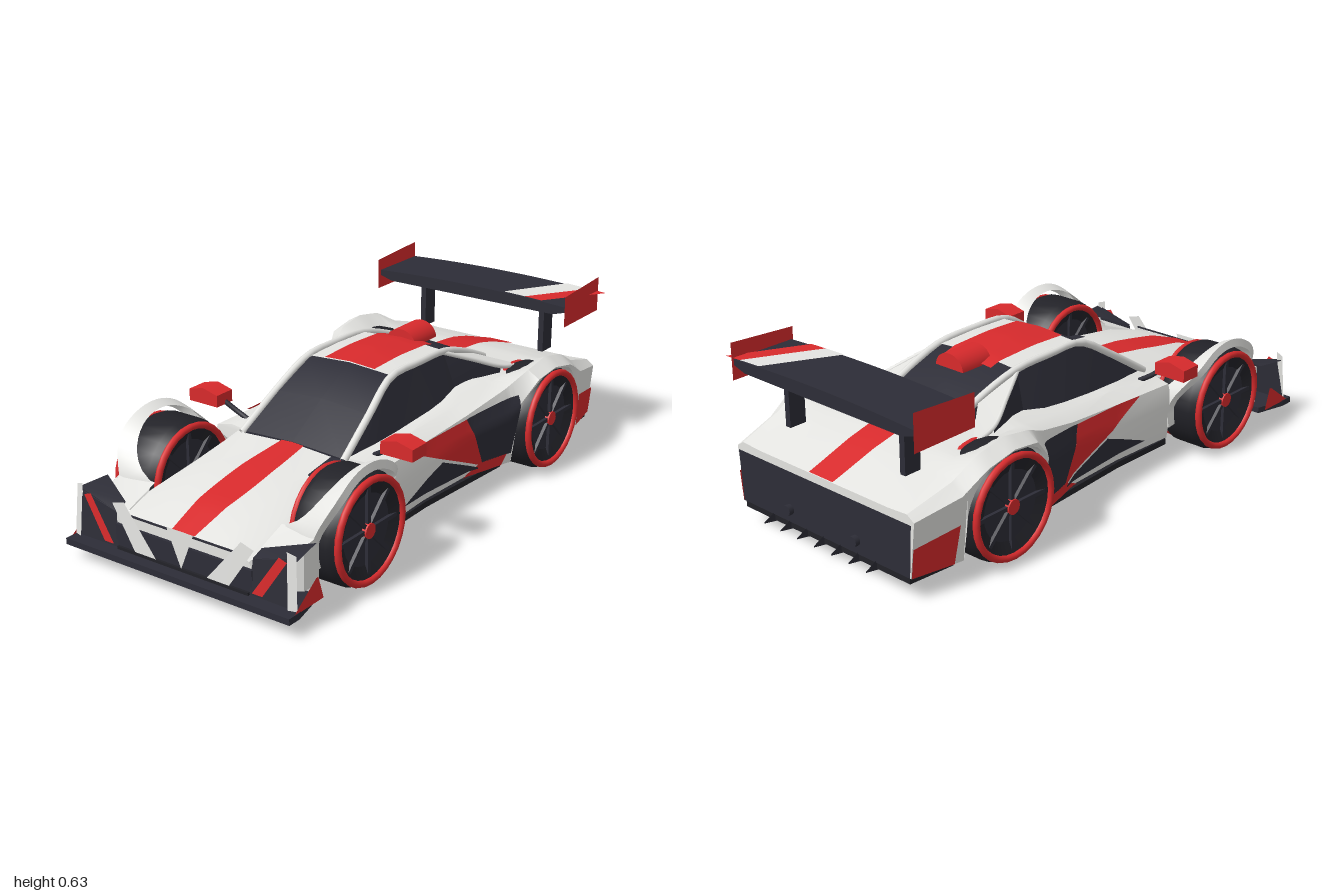
import * as THREE from 'three';
import { toCreasedNormals } from 'three/addons/utils/BufferGeometryUtils.js';

const paint = (name, hex) => {
  const m = new THREE.MeshStandardMaterial({ color: hex, side: THREE.DoubleSide });
  m.name = name;
  return m;
};
const lerp = THREE.MathUtils.lerp;

// Body half sections: z, top centre y, then x,y of crown, inner fender, outer fender, belt, then inner sill x
const BODY = [
  [0.94, 0.195, 0.15, 0.195, 0.24, 0.185, 0.262, 0.175, 0.27, 0.16, 0.265],
  [0.80, 0.245, 0.15, 0.24, 0.24, 0.225, 0.265, 0.22, 0.27, 0.2, 0.265],
  [0.58, 0.285, 0.15, 0.28, 0.235, 0.265, 0.26, 0.25, 0.264, 0.23, 0.262],
  [0.375, 0.312, 0.2, 0.30, 0.25, 0.29, 0.26, 0.28, 0.264, 0.25, 0.262],
  [0.37, 0.312, 0.2, 0.302, 0.28, 0.305, 0.345, 0.29, 0.365, 0.22, 0.27],
  [0.10, 0.315, 0.22, 0.315, 0.28, 0.32, 0.335, 0.295, 0.352, 0.22, 0.27],
  [-0.15, 0.33, 0.23, 0.335, 0.29, 0.335, 0.345, 0.315, 0.362, 0.24, 0.27],
  [-0.34, 0.375, 0.22, 0.375, 0.30, 0.36, 0.38, 0.36, 0.415, 0.27, 0.27],
  [-0.45, 0.385, 0.2, 0.38, 0.30, 0.362, 0.41, 0.408, 0.455, 0.38, 0.27],
  [-0.56, 0.38, 0.2, 0.375, 0.31, 0.36, 0.41, 0.424, 0.46, 0.395, 0.27],
  [-0.68, 0.37, 0.2, 0.365, 0.31, 0.362, 0.41, 0.402, 0.458, 0.37, 0.27],
  [-0.78, 0.345, 0.2, 0.345, 0.31, 0.34, 0.40, 0.345, 0.445, 0.31, 0.27],
  [-0.95, 0.29, 0.2, 0.29, 0.3, 0.29, 0.38, 0.295, 0.41, 0.275, 0.27],
];
// Cabin half sections: z, centre y, then x,y of roof rail and window base
const CABIN = [
  [0.39, 0.315, 0.205, 0.305, 0.212, 0.29],
  [0.23, 0.42, 0.195, 0.405, 0.226, 0.305],
  [0.08, 0.497, 0.175, 0.487, 0.232, 0.31],
  [-0.08, 0.508, 0.175, 0.49, 0.234, 0.33],
  [-0.25, 0.498, 0.175, 0.485, 0.226, 0.345],
  [-0.40, 0.455, 0.172, 0.44, 0.205, 0.36],
  [-0.53, 0.395, 0.17, 0.385, 0.185, 0.36],
];
const REAR = { z: -0.56, y: 0.195, r: 0.2 };

function rowAt(rows, z) {
  let i = 0;
  while (i < rows.length - 2 && z < rows[i + 1][0]) i++;
  const t = THREE.MathUtils.clamp((rows[i][0] - z) / (rows[i][0] - rows[i + 1][0]), 0, 1);
  return rows[i].map((v, k) => lerp(v, rows[i + 1][k], t));
}
function topY(rows, x, z, count) {
  const r = rowAt(rows, z), ax = Math.abs(x);
  const p = [[0, r[1]]];
  for (let k = 0; k < count; k++) p.push([r[2 + 2 * k], r[3 + 2 * k]]);
  let i = 0;
  while (i < p.length - 2 && ax > p[i + 1][0]) i++;
  return lerp(p[i][1], p[i + 1][1], Math.min(1, (ax - p[i][0]) / (p[i + 1][0] - p[i][0])));
}
function sideX(z, y) {
  const r = rowAt(BODY, z);
  if (y > r[9]) return lerp(r[8], r[6], Math.min(1, (y - r[9]) / (r[7] - r[9])));
  return lerp(r[8], r[8] - 0.02, (r[9] - y) / (r[9] - 0.08));
}

// Closed skin through mirrored half sections, running from front to back
function loft(sections) {
  const rings = sections.map(({ z, p }) => [...p, ...p.slice(1, -1).reverse().map(([x, y]) => [-x, y])]
    .map(([x, y]) => [x, y, z]));
  const n = rings[0].length, pos = rings.flat(2), idx = [];
  for (let i = 0; i < rings.length - 1; i++) for (let j = 0; j < n; j++) {
    const a = i * n + j, b = i * n + (j + 1) % n;
    idx.push(a, b, a + n, b, b + n, a + n);
  }
  [0, rings.length - 1].forEach((i, end) => {
    const c = pos.length / 3;
    pos.push(0, 0.15, rings[i][0][2]);
    for (let j = 0; j < n; j++) {
      const a = i * n + j, b = i * n + (j + 1) % n;
      end ? idx.push(c, a, b) : idx.push(c, b, a);
    }
  });
  return finish(pos, idx, 0.5);
}
function finish(pos, idx, crease) {
  const g = new THREE.BufferGeometry();
  g.setAttribute('position', new THREE.Float32BufferAttribute(pos, 3));
  g.setIndex(idx);
  return toCreasedNormals(g, crease);
}
// Grid surface from a rule (u, v) -> [x, y, z]
function surface(fn, nu, nv) {
  const pos = [], idx = [];
  for (let i = 0; i <= nu; i++) for (let j = 0; j <= nv; j++) pos.push(...fn(i / nu, j / nv));
  for (let i = 0; i < nu; i++) for (let j = 0; j < nv; j++) {
    const a = i * (nv + 1) + j, b = a + nv + 1;
    idx.push(a, b, a + 1, b, b + 1, a + 1);
  }
  return finish(pos, idx, 0.6);
}
// Four corners, each any number of coordinates, blended and passed through a rule
const patch = (c, rule = (...p) => p, n = 1) => surface((u, v) =>
  rule(...c[0].map((_, k) => lerp(lerp(c[0][k], c[1][k], u), lerp(c[3][k], c[2][k], u), v))), n, n);

export function createModel() {
  const car = new THREE.Group();
  car.name = 'raceCar';
  const white = paint('white paint', 0xe4e4e1), red = paint('red paint', 0xd82a2c);
  const dark = paint('dark trim', 0x2d2d37), black = paint('black rubber', 0x222228);
  const add = (name, geo, mat, parent = car) => {
    const m = new THREE.Mesh(geo, mat);
    m.name = name;
    parent.add(m);
    return m;
  };
  const box = (name, mat, x, y, z, w, h, d) => add(name, new THREE.BoxGeometry(w, h, d), mat).position.set(x, y, z);
  const tube = (name, mat, pts, r) => add(name, new THREE.TubeGeometry(
    new THREE.CatmullRomCurve3(pts.map(p => new THREE.Vector3(...p)), false, 'centripetal'), 20, r, 8), mat);
  const slab = (name, mat, outline, y, h) => {
    const s = new THREE.Shape([...outline, ...outline.map(([x, z]) => [-x, z]).reverse()].map(([x, z]) => new THREE.Vector2(x, -z)));
    const g = new THREE.ExtrudeGeometry(s, { depth: h, bevelEnabled: false }).rotateX(-Math.PI / 2);
    add(name, g, mat).position.y = y;
  };

  // Main body with rear wheel arches
  const stations = BODY.map(r => [r[0], false]).filter(([z]) => z > -0.36 || z < -0.77);
  for (let i = 0; i <= 16; i++) stations.push([REAR.z + REAR.r * Math.cos(i * Math.PI / 16), true]);
  stations.push([REAR.z + REAR.r + 0.001, false], [REAR.z - REAR.r - 0.001, false]);
  stations.sort((a, b) => b[0] - a[0]);
  add('body', loft(stations.map(([z, arch]) => {
    const r = rowAt(BODY, z);
    const rise = REAR.y + Math.sqrt(Math.max(0, REAR.r ** 2 - (z - REAR.z) ** 2));
    const low = arch ? Math.min(rise, r[9] - 0.008) : 0.08, inner = arch ? Math.min(rise, 0.345) : 0.08;
    return { z, p: [[0, r[1]], [r[2], r[3]], [r[4], r[5]], [r[6], r[7]], [r[8], r[9]],
      [r[8] - (arch ? 0.005 : 0.02), low], [r[10], inner], [r[10], 0.08], [0, 0.08]] };
  })), white);

  // Cabin glass, roof and centre stripes
  add('cabinGlass', loft(CABIN.map(r => ({ z: r[0], p: [[0, r[1]], [r[2], r[3]], [r[4], r[5]], [0, r[5] - 0.02]] }))), dark);
  const onRoof = h => (x, z) => [x, topY(CABIN, x, z, 2) + h, z];
  const onBody = h => (x, z) => [x, topY(BODY, x, z, 3) + h, z];
  add('roof', patch([[-0.175, 0.07], [0.175, 0.07], [0.175, -0.25], [-0.175, -0.25]], onRoof(0.004), 8), white);
  add('roofStripe', patch([[-0.105, 0.07], [0.105, 0.07], [0.105, -0.29], [-0.105, -0.29]], onRoof(0.008), 8), red);
  add('hoodStripe', patch([[-1, 0], [1, 0], [1, 1], [-1, 1]],
    (u, t) => onBody(0.004)(u * (0.046 + 0.016 * Math.sin(t * Math.PI)), lerp(0.94, 0.39, t)), 12), red);
  add('rearStripe', patch([[-0.062, -0.52], [0.062, -0.52], [0.055, -0.952], [-0.055, -0.952]], onBody(0.004), 10), red);
  add('hoodVent', patch([[0.165, 0.40], [0.215, 0.39], [0.24, 0.56], [0.17, 0.53]], onBody(0.006), 4), dark);
  const scoop = add('roofScoop', new THREE.CylinderGeometry(0.062, 0.062, 0.135, 16, 1, false, -Math.PI / 2, Math.PI), red);
  scoop.geometry.rotateX(-Math.PI / 2);
  scoop.scale.y = 0.85;
  scoop.position.set(0, 0.482, -0.31);

  // Front bumper
  box('bumper', dark, 0, 0.116, 0.945, 0.56, 0.078, 0.012);
  box('bumperLip', dark, 0, 0.196, 0.945, 0.48, 0.005, 0.006);
  add('noseWedge', patch([[-0.055, 0.21, 0.957], [0.055, 0.21, 0.957], [0, 0.08, 0.957], [0, 0.08, 0.957]]), white);
  slab('splitter', dark, [[0.46, 1], [0.46, 0.95], [0.43, 0.83]], 0.05, 0.022);
  slab('floor', black, [[0.27, 0.96], [0.26, 0.37], [0.35, 0.36], [0.345, 0.1], [0.37, -0.34], [0.265, -0.35], [0.265, -0.77], [0.4, -0.78], [0.385, -0.95]], 0.06, 0.022);

  for (const s of [1, -1]) {
    const side = s > 0 ? 'left' : 'right';
    const flat = (name, mat, c) => add(side + name, patch(c.map(([x, y, z]) => [s * x, y, z])), mat);
    const decal = (name, mat, c) => add(side + name, patch(c, (z, y) => [s * (sideX(z, y) + 0.005), y, z], 10), mat);

    // Front fender, a ribbon curving round the tyre and open on top
    add(side + 'FrontFender', surface((u, v) => {
      const a = lerp(-0.35, Math.PI + 0.3, u), sn = Math.sin(a), k = Math.max(0, (sn - 0.28) / 0.72);
      const outer = lerp(a < Math.PI / 2 ? 0.4 : 0.365, 0.455, THREE.MathUtils.smoothstep(sn, 0, 0.85));
      const inner = 0.28 + 0.13 * Math.sqrt(k);
      const x = [inner, lerp(inner, outer, 0.6), outer - 0.006, outer][Math.round(v * 3)];
      const r = [0.21, 0.222, 0.226, 0.198][Math.round(v * 3)];
      return [s * x, Math.max(0.08, 0.193 + r * sn), 0.58 + r * Math.cos(a)];
    }, 32, 3), white);

    // Nose corners: shoulder, dark panel and top plate, stripes and splitter fin
    flat('NoseShoulder', white, [[0.262, 0.24, 0.78], [0.405, 0.245, 0.775], [0.4, 0.225, 0.85], [0.262, 0.18, 0.935]]);
    flat('NoseSide', white, [[0.4, 0.08, 0.775], [0.4, 0.245, 0.775], [0.4, 0.225, 0.85], [0.4, 0.08, 0.85]]);
    flat('NoseCorner', white, [[0.4, 0.08, 0.85], [0.4, 0.225, 0.85], [0.265, 0.18, 0.94], [0.265, 0.08, 0.94]]);
    flat('CornerPanel', dark, [[0.27, 0.075, 0.953], [0.455, 0.075, 0.955], [0.425, 0.235, 0.943], [0.28, 0.195, 0.943]]);
    flat('CornerTop', dark, [[0.28, 0.195, 0.945], [0.45, 0.235, 0.945], [0.43, 0.242, 0.825], [0.28, 0.212, 0.9]]);
    flat('CornerStripe', red, [[0.285, 0.085, 0.959], [0.325, 0.085, 0.959], [0.415, 0.222, 0.95], [0.385, 0.232, 0.95]]);
    flat('BumperSlash', white, [[0.1, 0.076, 0.958], [0.19, 0.076, 0.958], [0.29, 0.225, 0.95], [0.24, 0.24, 0.95]]);
    flat('CornerPlate', white, [[0.427, 0.075, 0.965], [0.457, 0.075, 0.957], [0.447, 0.25, 0.945], [0.417, 0.26, 0.952]]);
    flat('SplitterFin', red, [[0.458, 0.07, 0.975], [0.458, 0.07, 0.83], [0.458, 0.15, 0.855], [0.458, 0.15, 0.865]]);

    // Side livery
    decal('DoorWedge', red, [[0.21, 0.295], [-0.135, 0.305], [-0.22, 0.11], [-0.2, 0.115]]);
    decal('DoorShade', dark, [[0.24, 0.115], [0.02, 0.2], [-0.2, 0.105], [-0.2, 0.1]]);
    decal('RearDoorPanel', dark, [[-0.135, 0.305], [-0.375, 0.335], [-0.35, 0.12], [-0.215, 0.12]]);
    decal('SillPatch', red, [[-0.13, 0.082], [-0.21, 0.122], [-0.33, 0.122], [-0.31, 0.082]]);
    decal('RearCorner', red, [[-0.785, 0.215], [-0.952, 0.185], [-0.952, 0.082], [-0.8, 0.082]]);

    // Roof rails, rear quarter glass and buttresses
    tube(side + 'RoofRail', white, [[s * 0.213, 0.3, 0.395], [s * 0.197, 0.405, 0.23], [s * 0.178, 0.488, 0.08],
      [s * 0.18, 0.494, -0.08], [s * 0.178, 0.487, -0.25], [s * 0.172, 0.442, -0.4], [s * 0.168, 0.385, -0.535]], 0.013);
    tube(side + 'Buttress', white, [[s * 0.18, 0.485, -0.24], [s * 0.235, 0.437, -0.355], [s * 0.285, 0.388, -0.47], [s * 0.292, 0.365, -0.57]], 0.008);
    flat('QuarterGlass', dark, [[0.18, 0.483, -0.245], [0.225, 0.345, -0.26], [0.283, 0.355, -0.465], [0.283, 0.388, -0.47]]);
    flat('ButtressTop', white, [[0.178, 0.487, -0.245], [0.285, 0.39, -0.47], [0.29, 0.368, -0.575], [0.172, 0.435, -0.42]]);

    // Mirror
    const mg = new THREE.BoxGeometry(0.125, 0.058, 0.08, 4, 1, 1), mp = mg.attributes.position;
    for (let i = 0; i < mp.count; i++) if (mp.getY(i) > 0) mp.setY(i, mp.getY(i) - 0.25 * Math.abs(mp.getX(i)));
    add(side + 'Mirror', toCreasedNormals(mg, 0.5), red).position.set(s * 0.405, 0.381, 0.332);
    tube(side + 'MirrorStalk', dark, [[s * 0.27, 0.305, 0.3], [s * 0.31, 0.33, 0.31], [s * 0.36, 0.37, 0.33]], 0.009);

    // Wing mounts and end plates
    box(side + 'WingStrut', dark, s * 0.265, 0.45, -0.82, 0.022, 0.2, 0.065);
    flat('WingEndPlate', red, [[0.414, 0.5, -0.69], [0.414, 0.5, -0.945], [0.414, 0.63, -0.945], [0.414, 0.615, -0.69]]);

    // Wheels
    for (const [end, y, z] of [['Front', 0.191, 0.58], ['Rear', 0.195, -0.56]]) {
      const wheel = new THREE.Group();
      wheel.name = side + end + 'Wheel';
      wheel.position.set(s * 0.367, y, z);
      car.add(wheel);
      const prof = [[0.12, -0.07], [0.165, -0.088], [0.18, -0.08], [0.191, -0.055], [0.191, 0.055], [0.18, 0.08], [0.165, 0.088], [0.12, 0.07]];
      const tyre = new THREE.LatheGeometry(prof.map(p => new THREE.Vector2(...p)), 28).rotateZ(-Math.PI / 2);
      add('tyre', toCreasedNormals(tyre, 0.6), black, wheel);
      add('rim', new THREE.CylinderGeometry(0.165, 0.165, 0.14, 28).rotateZ(Math.PI / 2), dark, wheel);
      for (const e of [-1, 1])
        add('rimRing', new THREE.TorusGeometry(0.172, 0.012, 8, 28).rotateY(Math.PI / 2), red, wheel).position.x = e * 0.087;
      for (let i = 0; i < 4; i++)
        add('spoke', new THREE.BoxGeometry(0.164, 0.33, 0.014), dark, wheel).rotation.x = i * Math.PI / 4;
      add('hub', new THREE.CylinderGeometry(0.026, 0.026, 0.175, 14).rotateZ(Math.PI / 2), red, wheel);
    }
    // Exhaust
    const pipe = add(side + 'Exhaust', new THREE.CylinderGeometry(0.018, 0.018, 0.03, 12).rotateX(Math.PI / 2), dark);
    pipe.position.set(s * 0.155, 0.13, -0.957);
  }

  // Rear panel and upright diffuser fins
  add('rearPanel', patch([[-0.39, 0.083, -0.954], [0.39, 0.083, -0.954], [0.4, 0.265, -0.954], [-0.4, 0.265, -0.954]]), dark);
  for (let i = -3; i <= 3; i++) {
    const x = i * 0.08;
    add('diffuserFin', patch([[x, 0.095, -0.94], [x, 0.068, -0.995], [x, 0.064, -0.995], [x, 0.05, -0.92]]), dark);
  }

  // Rear wing with a gently crowned top and slanted stripes
  const crown = x => 0.585 - 0.012 * (x / 0.41) ** 2;
  const wg = new THREE.BoxGeometry(0.82, 0.04, 0.24, 16, 1, 1), wp = wg.attributes.position;
  for (let i = 0; i < wp.count; i++) {
    const x = wp.getX(i);
    wp.setY(i, wp.getY(i) > 0 ? crown(x) : 0.538 + Math.max(0, Math.abs(x) - 0.36) * 0.3);
  }
  add('wing', toCreasedNormals(wg, 0.5), dark).position.z = -0.82;
  const onWing = (x, z) => [x, crown(x) + 0.004, z];
  add('wingWhiteStripe', patch([[0.15, -0.7], [0.24, -0.7], [0.38, -0.94], [0.285, -0.94]], onWing, 6), white);
  add('wingRedStripe', patch([[0.24, -0.7], [0.31, -0.7], [0.45, -0.94], [0.38, -0.94]], onWing, 6), red);
  return car;
}
